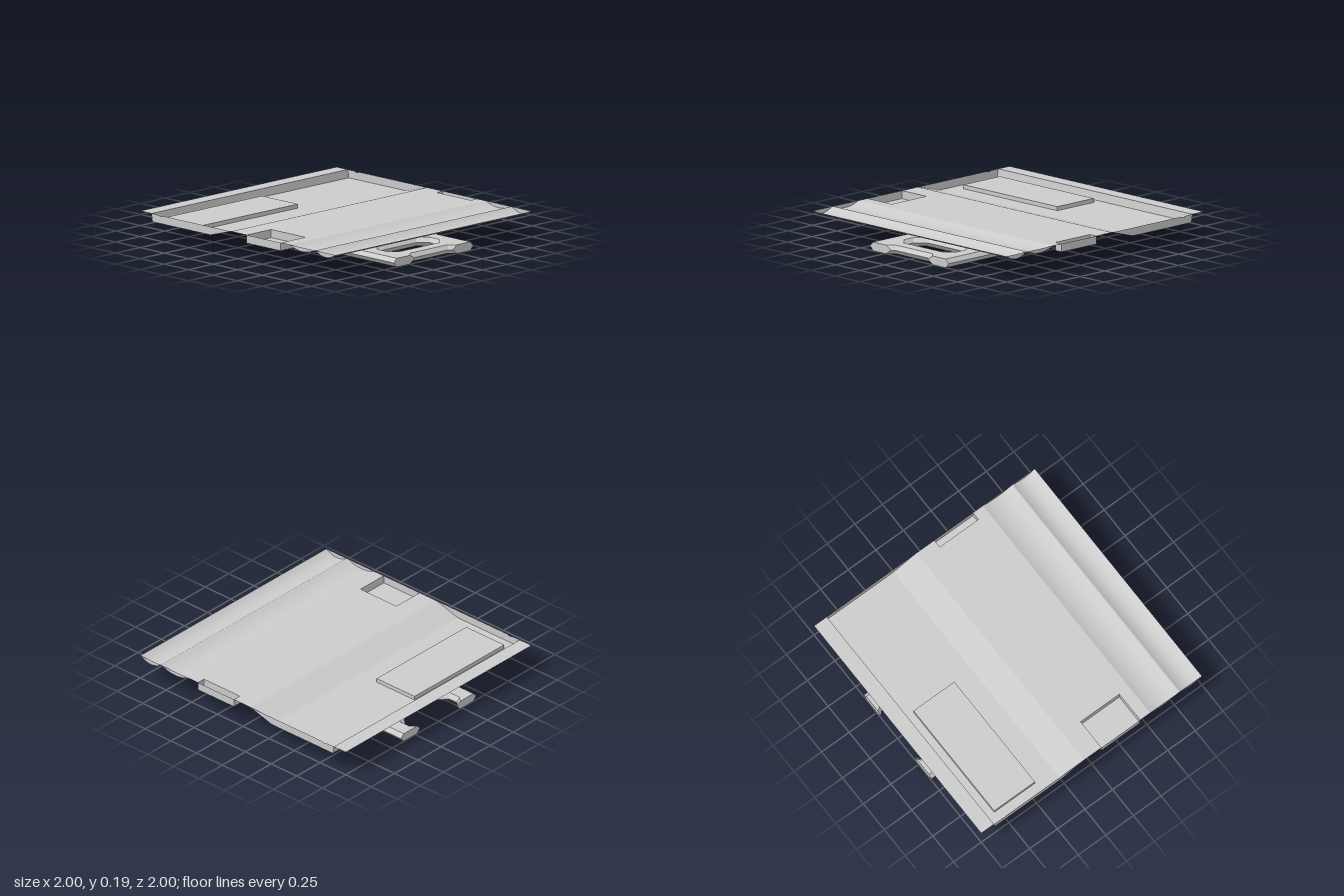
import * as THREE from 'three';

const material = new THREE.MeshStandardMaterial({ color: 0xcccccc, side: THREE.DoubleSide });
const TOP = 0.19, FLOOR = 0.13, LID = 0.16;

function add(group, name, geometry) {
  const mesh = new THREE.Mesh(geometry, material);
  mesh.name = name;
  group.add(mesh);
  return mesh;
}

const toShape = (pts) => new THREE.Shape(pts.map(([a, b]) => new THREE.Vector2(a, b)));
const rect = (x0, x1, z0, z1) => [[x0, z0], [x1, z0], [x1, z1], [x0, z1]];
const at = (pts, y) => pts.map(([x, z]) => [x, y, z]);

// horizontal sheet from an (x, z) outline with optional holes
function sheet(outline, y, holes = [], up = true) {
  const shape = toShape(outline);
  shape.holes = holes.map(toShape);
  const g = new THREE.ShapeGeometry(shape).rotateX(Math.PI / 2).translate(0, y, 0);
  if (up) {
    g.index.array.reverse();
    g.computeVertexNormals();
  }
  return g;
}

// surface joining two rows of 3D points
function loft(a, b, closed = false, flat = false) {
  const n = a.length, index = [];
  for (let i = 0; i < (closed ? n : n - 1); i++) {
    const j = (i + 1) % n;
    index.push(i, j, n + i, j, n + j, n + i);
  }
  let g = new THREE.BufferGeometry();
  g.setAttribute('position', new THREE.Float32BufferAttribute([...a, ...b].flat(), 3));
  g.setIndex(index);
  if (flat) g = g.toNonIndexed();
  g.computeVertexNormals();
  return g;
}

// (z, y) profile swept across the full width
const ribbon = (profile) => loft(
  profile.map(([z, y]) => [-1, y, z]), profile.map(([z, y]) => [1, y, z]));

// box lacking one face: 2 = top, 3 = bottom
function openBox(x0, x1, y0, y1, z0, z1, missing) {
  const g = new THREE.BoxGeometry(x1 - x0, y1 - y0, z1 - z0)
    .translate((x0 + x1) / 2, (y0 + y1) / 2, (z0 + z1) / 2);
  const index = Array.from(g.index.array);
  index.splice(missing * 6, 6);
  g.setIndex(index);
  g.clearGroups();
  return g;
}

// matching vertical closures at both ends of the panel
function endWalls(group, name, profile) {
  for (const x of [-1, 1]) {
    const g = new THREE.ShapeGeometry(toShape(profile)).rotateY(-Math.PI / 2).translate(x, 0, 0);
    add(group, name, g);
  }
}

function buildPanel() {
  const panel = new THREE.Group();
  panel.name = 'floorPanel';

  // two curved troughs along the front
  for (const [z0, z1, depth] of [[0.53, 0.79, 0.03], [0.8, 1, 0.034]]) {
    const profile = [];
    for (let i = 0; i <= 16; i++) {
      const t = i / 16;
      profile.push([z0 + (z1 - z0) * t, TOP - depth * 4 * t * (1 - t)]);
    }
    add(panel, 'trough', ribbon(profile));
    endWalls(panel, 'troughEnd', profile);
  }
  add(panel, 'troughRidge', ribbon([[0.79, TOP], [0.8, TOP]]));

  // deck with a pocket cut into each side
  const p0 = 0.09, p1 = 0.44, right = -0.75, left = 0.935;
  add(panel, 'deck', sheet([
    [-1, -0.07], [1, -0.07], [1, p0], [left, p0], [left, p1], [1, p1],
    [1, 0.53], [-1, 0.53], [-1, p1], [right, p1], [right, p0], [-1, p0],
  ], TOP));
  add(panel, 'rightPocket', openBox(-1, right, FLOOR, TOP, p0, p1, 2));
  add(panel, 'leftPocket', openBox(left, 1, FLOOR, TOP, p0, p1, 2));

  // sunken bay with a raised hatch
  const hatch = [-0.91, 0.055, -0.815, -0.445];
  add(panel, 'bayRamp', ribbon([[-0.28, FLOOR], [-0.07, TOP]]));
  add(panel, 'bayFloor', sheet(rect(-1, 1, -0.875, -0.28), FLOOR, [rect(...hatch)]));
  add(panel, 'hatch', openBox(hatch[0], hatch[1], FLOOR, LID, hatch[2], hatch[3], 3));
  add(panel, 'bayBackWall', ribbon([[-0.885, TOP], [-0.875, FLOOR]]));
  add(panel, 'backLip', ribbon([[-1, TOP], [-0.885, TOP]]));
  endWalls(panel, 'bayEnd', [
    [-0.07, TOP], [-0.28, FLOOR], [-0.875, FLOOR], [-0.885, TOP],
    [-0.81, TOP], [-0.8, TOP - 0.006], [-0.78, TOP - 0.006], [-0.765, TOP],
  ]);
  return panel;
}

// ladder outlines; e = 0 at the middle ridge, 1 at the top and bottom faces
function ladderOutline(e) {
  const w = 0.405 - 0.03 * e, d = 0.02 + 0.03 * e;
  const f = 0.17 + 0.02 * e, h = 0.24 + 0.03 * e, zi = -0.82 + 0.03 * e;
  const half = [
    [f, 1 - d], [f + d, 1], [w, 1], [w, -1],
    [h - 0.04, -1], [h, -0.96], [h, zi - 0.07], [h - 0.07, zi],
  ];
  return [...half, ...half.map(([x, z]) => [-x, z]).reverse()];
}

function ladderHole(zc, e) {
  const h = 0.24 + 0.03 * e, k = 0.09 + 0.03 * e, c = 0.07;
  return [
    [h, k - c], [h - c, k], [c - h, k], [-h, k - c],
    [-h, c - k], [c - h, -k], [h - c, -k], [h, c - k],
  ].map(([x, z]) => [x, z + zc]);
}

function buildLadder() {
  const ladder = new THREE.Group();
  ladder.name = 'ladderFrame';
  const height = 0.065, ridge = 0.035;
  const centres = [0.74, 0.41, 0.08, -0.25, -0.58];
  const holes = centres.map((z) => ladderHole(z, 1));

  add(ladder, 'frameTop', sheet(ladderOutline(1), height, holes));
  add(ladder, 'frameBottom', sheet(ladderOutline(1), 0, holes, false));

  // bevelled edges meet at the ridge
  const bevel = (name, outline) => {
    const mid = at(outline(0), ridge);
    add(ladder, name, loft(at(outline(1), 0), mid, true, true));
    add(ladder, name, loft(mid, at(outline(1), height), true, true));
  };
  bevel('frameEdge', ladderOutline);
  for (const z of centres) bevel('openingEdge', (e) => ladderHole(z, e).reverse());
  return ladder;
}

export function createModel() {
  const model = new THREE.Group();
  model.name = 'floorSection';
  model.add(buildPanel(), buildLadder());
  return model;
}
